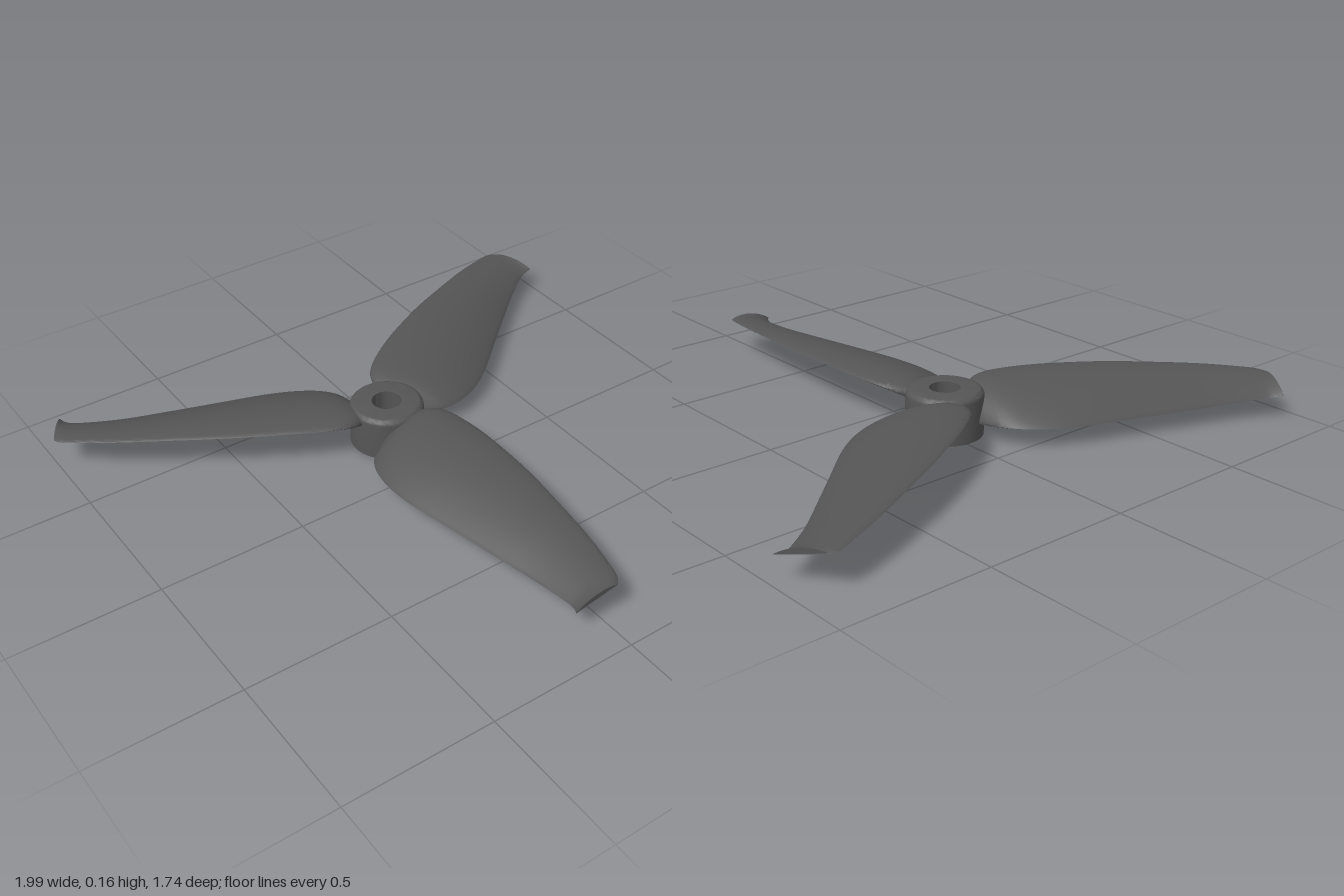
import * as THREE from 'three';
import { toCreasedNormals } from 'three/addons/utils/BufferGeometryUtils.js';

const V = (x, y, z) => new THREE.Vector3(x, y, z);

// Stations along the blade: radius, low edge x, low edge y, high edge x, high edge y, thickness
const STATIONS = [
  [0.085, -0.07, 0.055, 0.085, 0.12, 0.05],
  [0.12, -0.12, 0.06, 0.12, 0.135, 0.042],
  [0.16, -0.16, 0.066, 0.138, 0.143, 0.034],
  [0.22, -0.187, 0.068, 0.15, 0.147, 0.028],
  [0.31, -0.197, 0.067, 0.158, 0.15, 0.024],
  [0.42, -0.187, 0.066, 0.16, 0.15, 0.022],
  [0.58, -0.155, 0.065, 0.155, 0.147, 0.021],
  [0.74, -0.123, 0.064, 0.14, 0.14, 0.019],
  [0.90, -0.092, 0.065, 0.122, 0.131, 0.017],
  [1.04, -0.076, 0.072, 0.096, 0.12, 0.014],
  [1.085, -0.08, 0.077, 0.082, 0.115, 0.012],
  [1.105, -0.092, 0.083, 0.065, 0.112, 0.01],
];

// Loft a cambered, twisted section from the hub to the cut-off tip
function bladeGeometry(rings = 66, sides = 32) {
  const curve = f => new THREE.CatmullRomCurve3(STATIONS.map(f), false, 'catmullrom', 0.5);
  const low = curve(s => V(s[1], s[2], s[0]));
  const high = curve(s => V(s[3], s[4], s[0]));
  const thick = curve(s => V(s[5], 0, s[0]));
  const pos = [], index = [];
  for (let i = 0; i <= rings; i++) {
    const t = i / rings;
    const a = low.getPoint(t), b = high.getPoint(t), th = thick.getPoint(t).x;
    const camber = 0.09 * (b.x - a.x);
    for (let j = 0; j < sides; j++) {
      const ang = (j / sides) * Math.PI * 2;
      const u = (1 - Math.cos(ang)) / 2;
      const p = a.clone().lerp(b, u);
      pos.push(p.x, p.y + camber * 4 * u * (1 - u) + 0.5 * th * Math.sin(ang), p.z);
    }
  }
  for (let i = 0; i < rings; i++) {
    for (let j = 0; j < sides; j++) {
      const k = (j + 1) % sides, p = i * sides, q = p + sides;
      index.push(p + j, q + j, p + k, q + j, q + k, p + k);
    }
  }
  // Flat end caps
  const last = rings * sides;
  for (let j = 1; j < sides - 1; j++) {
    index.push(last, last + j + 1, last + j, 0, j, j + 1);
  }
  const g = new THREE.BufferGeometry();
  g.setAttribute('position', new THREE.Float32BufferAttribute(pos, 3));
  g.setIndex(index);
  return toCreasedNormals(g, Math.PI / 3);
}

// Bored hub with a rounded upper rim
function hubGeometry() {
  const R = 0.126, bore = 0.05, H = 0.152, bevel = 0.022;
  const pts = [new THREE.Vector2(bore, 0), new THREE.Vector2(R, 0)];
  for (let i = 0; i <= 6; i++) {
    const a = (i / 6) * Math.PI / 2;
    pts.push(new THREE.Vector2(R - bevel + bevel * Math.cos(a), H - bevel + bevel * Math.sin(a)));
  }
  pts.push(new THREE.Vector2(bore, H), new THREE.Vector2(bore, 0));
  return toCreasedNormals(new THREE.LatheGeometry(pts, 64), Math.PI / 5);
}

export function createModel() {
  const model = new THREE.Group();
  model.name = 'propeller';
  const darkGrey = new THREE.MeshStandardMaterial({ color: 0x555555 });
  darkGrey.name = 'dark grey plastic';

  const rotor = new THREE.Group();
  rotor.name = 'rotor';
  rotor.position.set(-0.015, 0, -0.235);
  model.add(rotor);

  const hub = new THREE.Mesh(hubGeometry(), darkGrey);
  hub.name = 'hub';
  rotor.add(hub);

  // Three equal blades
  const blade = bladeGeometry();
  ['frontBlade', 'leftBlade', 'rightBlade'].forEach((name, i) => {
    const mesh = new THREE.Mesh(blade, darkGrey);
    mesh.name = name;
    mesh.rotation.y = (i * Math.PI * 2) / 3;
    rotor.add(mesh);
  });
  return model;
}
